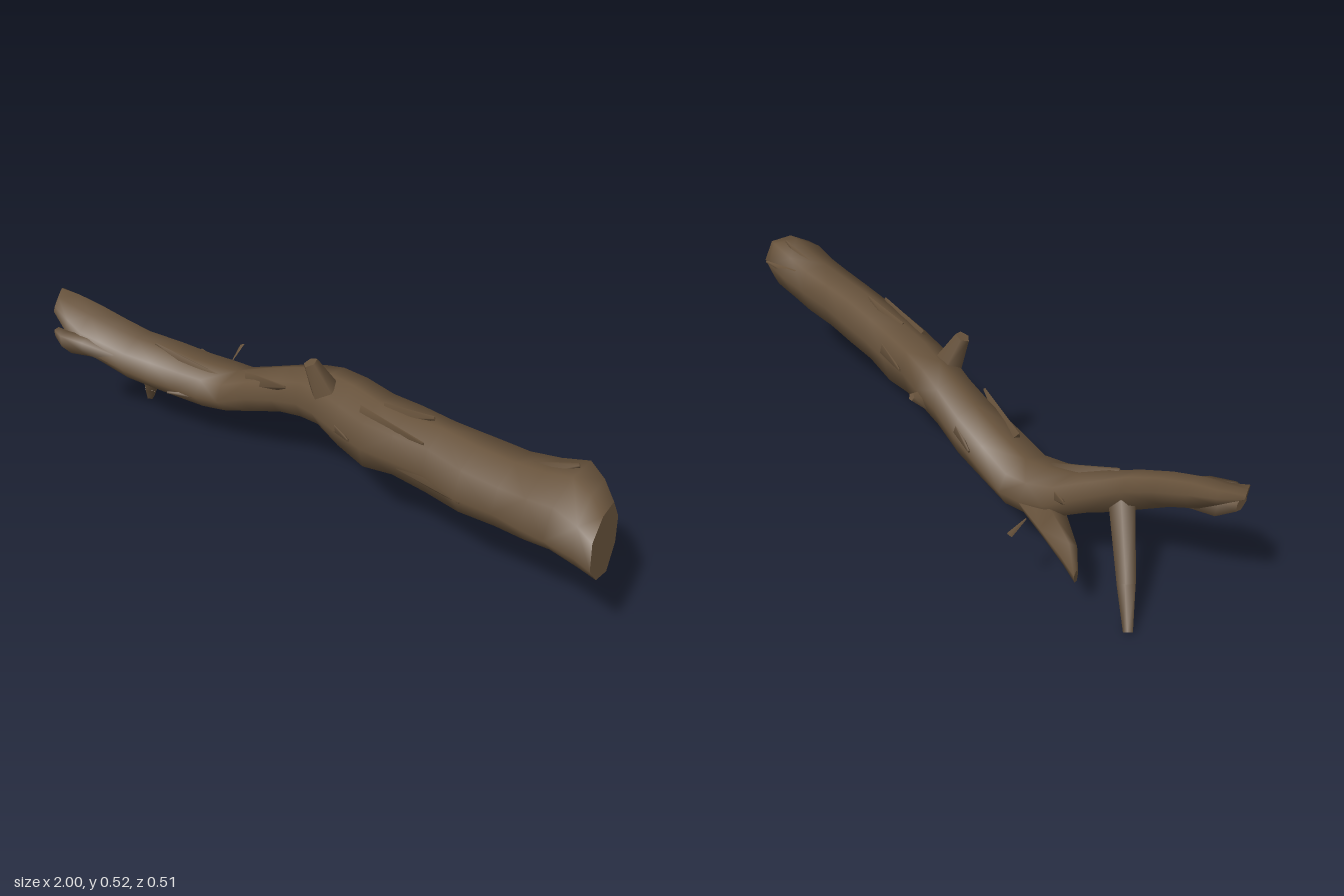
import * as THREE from 'three';

const bark = new THREE.MeshStandardMaterial({ color: 0x68533c });
bark.name = 'darkBark';

// Small repeatable random generator for uneven bark
let seed = 7;
const rand = () => (seed = (seed * 16807) % 2147483647) / 2147483647;

// Skin through sections [x, top, bottom, back, front, lean, slantZ, slantY], closed at both ends.
// lean turns the oval diagonally; the slants cut a section at an angle.
function loft(name, sections, sides, rough) {
  const pos = [], index = [];
  const profile = Array.from({ length: sides }, () => 1 + (rand() - 0.5) * rough);
  const points = sections.map(([x, top, bottom, back, front, lean = 0, slantZ = 0, slantY = 0]) =>
    profile.map((p, i) => {
      const a = (i / sides) * Math.PI * 2;
      const r = Math.min(1.1, 1.04 * p + (rand() - 0.5) * rough);
      const up = Math.cos(a) * Math.sqrt(1 - lean * lean) + Math.sin(a) * lean;
      const dy = up * r * (top - bottom) / 2;
      const dz = Math.sin(a) * r * (front - back) / 2;
      return [x + slantZ * dz + slantY * dy, (top + bottom) / 2 + dy, (back + front) / 2 + dz];
    }));
  points.forEach(ring => ring.forEach(p => pos.push(...p)));
  for (let s = 0; s < sections.length - 1; s++) {
    for (let i = 0; i < sides; i++) {
      const j = (i + 1) % sides;
      const a = s * sides + i, b = s * sides + j;
      // Alternate the diagonals for a chipped look
      if ((s + i) % 2) index.push(a, b, a + sides, b, b + sides, a + sides);
      else index.push(a, b, b + sides, a, b + sides, a + sides);
    }
  }
  // End caps own their vertices so the broken rims stay sharp
  [0, sections.length - 1].forEach(s => {
    const ring = points[s], c = pos.length / 3;
    const mid = [0, 1, 2].map(k => ring.reduce((t, p) => t + p[k], 0) / sides);
    pos.push(...mid);
    ring.forEach(p => pos.push(...p));
    for (let i = 0; i < sides; i++) {
      const a = c + 1 + i, b = c + 1 + ((i + 1) % sides);
      if (s === 0) index.push(c, b, a);
      else index.push(c, a, b);
    }
  });
  const geo = new THREE.BufferGeometry();
  geo.setAttribute('position', new THREE.Float32BufferAttribute(pos, 3));
  geo.setIndex(index);
  geo.computeVertexNormals();
  const mesh = new THREE.Mesh(geo, bark);
  mesh.name = name;
  return mesh;
}

// Tapered stick between two points
function spur(name, from, to, r0, r1, flat = 1, sides = 5) {
  const a = new THREE.Vector3(...from), b = new THREE.Vector3(...to);
  const dir = b.clone().sub(a);
  const geo = new THREE.CylinderGeometry(r1, r0, dir.length(), sides, 1);
  geo.scale(1, 1, flat);
  const mesh = new THREE.Mesh(geo, bark);
  mesh.name = name;
  mesh.position.copy(a).add(b).multiplyScalar(0.5);
  mesh.quaternion.setFromUnitVectors(new THREE.Vector3(0, 1, 0), dir.normalize());
  return mesh;
}

// Body of the branch, from the thin forked end to the thick broken end
const trunk = [
  [-0.972, 0.456, 0.422, 0.12, 0.208, -0.85, 0.65],
  [-0.91, 0.443, 0.365, 0.09, 0.215, -0.65, 0.4],
  [-0.84, 0.43, 0.315, 0.07, 0.218, -0.55, 0.2],
  [-0.76, 0.405, 0.285, 0.048, 0.20, -0.4],
  [-0.68, 0.38, 0.245, 0.015, 0.17, -0.35],
  [-0.60, 0.35, 0.215, -0.05, 0.135, -0.2],
  [-0.52, 0.32, 0.185, -0.11, 0.10],
  [-0.45, 0.305, 0.17, -0.135, 0.065],
  [-0.38, 0.305, 0.168, -0.15, 0.04],
  [-0.28, 0.35, 0.205, -0.157, 0.02],
  [-0.18, 0.39, 0.235, -0.157, 0.005],
  [-0.08, 0.43, 0.27, -0.155, 0.0, -0.1],
  [0.00, 0.455, 0.28, -0.15, 0.02, -0.15],
  [0.10, 0.46, 0.27, -0.135, 0.04, -0.2],
  [0.21, 0.46, 0.255, -0.12, 0.058, -0.2],
  [0.32, 0.468, 0.28, -0.115, 0.065, -0.2],
  [0.44, 0.48, 0.283, -0.112, 0.065, -0.2],
  [0.56, 0.475, 0.285, -0.11, 0.075, -0.25],
  [0.68, 0.48, 0.292, -0.115, 0.08, -0.25],
  [0.77, 0.495, 0.298, -0.122, 0.082, -0.3],
  [0.85, 0.518, 0.305, -0.135, 0.085, -0.35],
  [0.925, 0.50, 0.303, -0.11, 0.092, -0.35, 0.1, -0.1],
  [0.978, 0.465, 0.303, -0.085, 0.097, -0.3, 0.14, -0.2],
];

export function createModel() {
  const group = new THREE.Group();
  group.name = 'brokenBranch';
  group.add(loft('trunk', trunk, 8, 0.13));

  // Broken wedge behind the bend
  group.add(loft('backStub', [
    [-0.695, 0.16, 0.12, -0.15, -0.13, 0, 0.3],
    [-0.64, 0.205, 0.135, -0.15, -0.09],
    [-0.55, 0.24, 0.16, -0.148, -0.05],
    [-0.42, 0.27, 0.18, -0.13, -0.02],
  ], 5, 0.1));

  // Lower prong of the forked tip
  group.add(loft('tipProng', [
    [-0.92, 0.378, 0.33, 0.195, 0.235, 0.4],
    [-0.87, 0.385, 0.295, 0.175, 0.255, 0.5],
    [-0.80, 0.375, 0.295, 0.14, 0.228, 0.4],
    [-0.70, 0.35, 0.27, 0.07, 0.17],
  ], 6, 0.1));

  group.add(spur('hangingTwig', [-0.655, 0.29, 0.05], [-0.77, 0.105, -0.025], 0.038, 0.027));
  group.add(spur('hangingTwigTip', [-0.77, 0.105, -0.025], [-0.836, 0.008, -0.073], 0.027, 0.014));
  group.add(spur('topKnot', [0.015, 0.42, -0.02], [-0.018, 0.513, 0.005], 0.045, 0.023));
  group.add(spur('backThorn', [-0.01, 0.34, -0.11], [-0.01, 0.372, -0.175], 0.04, 0.012));
  group.add(spur('looseSplinter', [-0.517, 0.235, -0.165], [-0.555, 0.245, -0.255], 0.002, 0.009, 0.15));

  // Flakes of bark, lifting slightly at one end: [from, to, width]
  const flakes = [
    [[-0.30, 0.31, -0.03], [-0.12, 0.385, 0.005], 0.04],
    [[0.00, 0.34, -0.01], [0.17, 0.35, 0.055], 0.035],
    [[0.18, 0.41, 0.0], [0.42, 0.445, 0.035], 0.04],
    [[0.35, 0.34, 0.035], [0.58, 0.35, 0.078], 0.035],
    [[0.65, 0.42, 0.0], [0.86, 0.45, 0.055], 0.04],
    [[0.66, 0.43, -0.07], [0.86, 0.455, -0.138], 0.04],
    [[-0.06, 0.36, -0.11], [-0.26, 0.31, -0.16], 0.04],
    [[-0.44, 0.26, -0.02], [-0.63, 0.36, 0.06], 0.045],
    [[-0.36, 0.23, -0.01], [-0.54, 0.235, 0.105], 0.035],
    [[-0.48, 0.26, -0.06], [-0.58, 0.29, -0.09], 0.04],
    [[0.32, 0.39, -0.08], [0.10, 0.395, -0.138], 0.04],
    [[0.24, 0.43, -0.03], [0.40, 0.482, -0.04], 0.035],
    [[0.72, 0.45, -0.04], [0.84, 0.518, -0.07], 0.035],
  ];
  flakes.forEach(([a, b, w], i) => group.add(spur('barkFlake' + (i + 1), a, b, w, 0.006, 0.6, 4)));
  return group;
}
